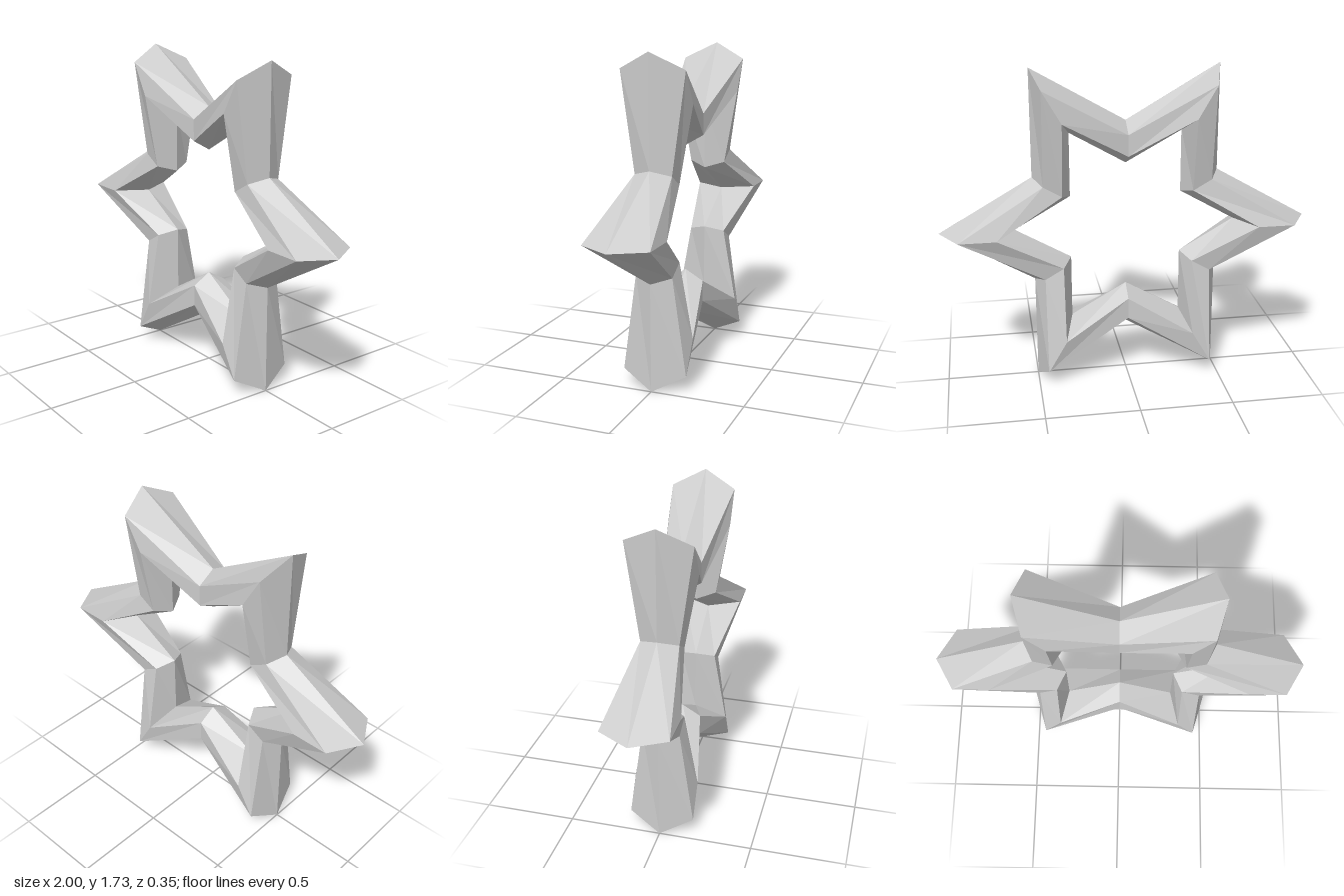
import * as THREE from 'three';

export function createModel() {
  const group = new THREE.Group();

  // Ring with a hexagonal section and twelve corners
  const corners = 12;
  const geometry = new THREE.TorusGeometry(0.8, 0.2, 6, corners);

  // Shrink every second cross-section about the centre to form the star's valleys
  const pos = geometry.attributes.position;
  const valley = 1 / Math.sqrt(3);
  for (let i = 0; i < pos.count; i++) {
    const corner = i % (corners + 1);
    if (corner % 2 === 1) {
      pos.setXYZ(i, pos.getX(i) * valley, pos.getY(i) * valley, pos.getZ(i) * valley);
    }
  }
  geometry.computeVertexNormals();

  const star = new THREE.Mesh(
    geometry,
    new THREE.MeshStandardMaterial({ color: 0xcccccc, flatShading: true })
  );
  star.name = 'starRing';
  star.position.y = Math.sqrt(3) / 2; // lower tips rest on the ground
  group.add(star);
  return group;
}
